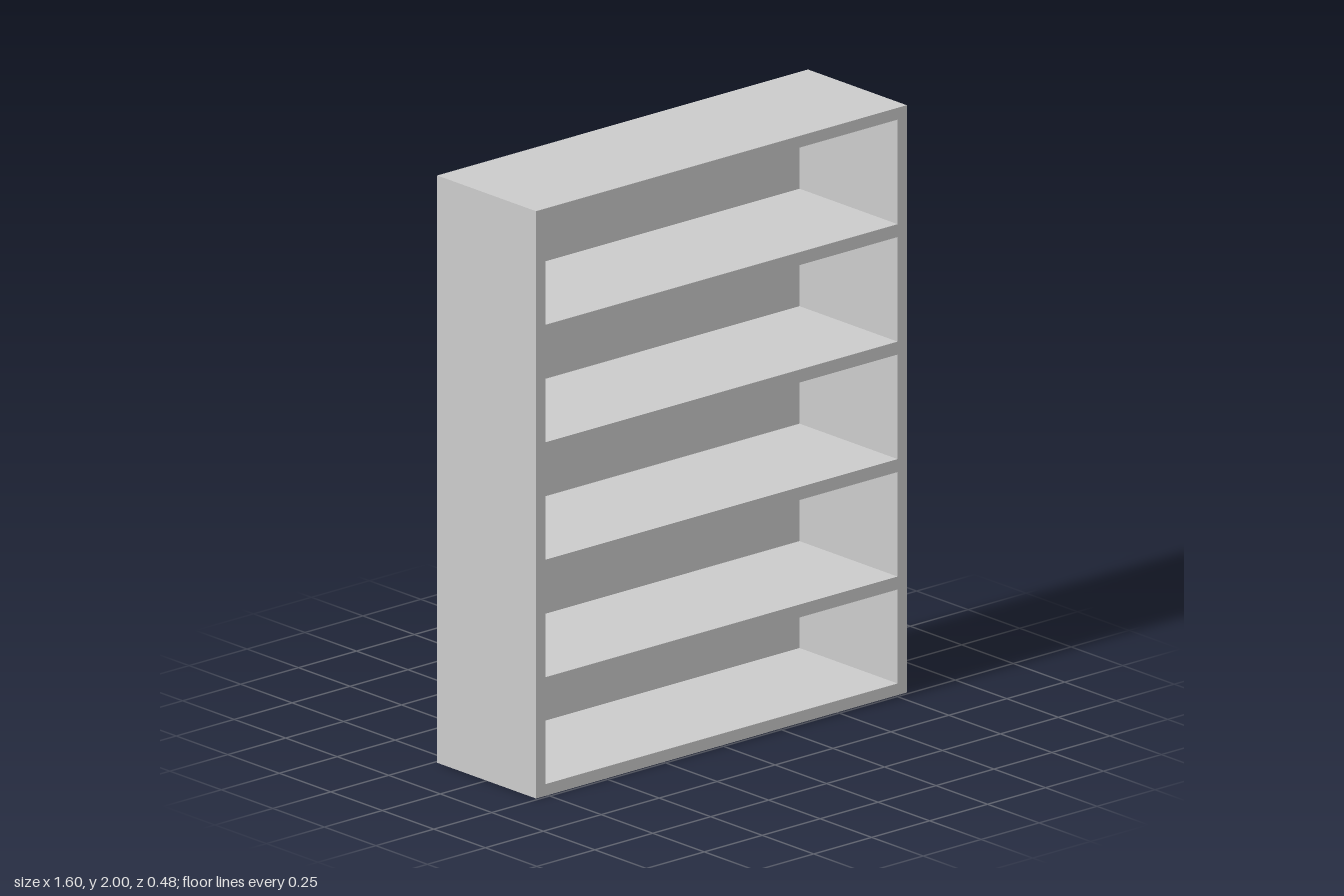
import * as THREE from 'three';

const W = 1.6, H = 2, D = 0.48; // overall size
const T = 0.04;                 // board thickness
const BACK = 0.004;             // back panel thickness
const BAYS = 5;

// Adds a rectangle to a shape or path
function rect(path, x0, y0, x1, y1) {
  path.moveTo(x0, y0);
  path.lineTo(x1, y0);
  path.lineTo(x1, y1);
  path.lineTo(x0, y1);
  path.closePath();
  return path;
}

export function createModel() {
  const group = new THREE.Group();
  group.name = 'bookcase';
  const material = new THREE.MeshStandardMaterial({ color: 0xcccccc });

  // Frame and shelves: one outline with an opening for each bay
  const outline = rect(new THREE.Shape(), -W / 2, 0, W / 2, H);
  const pitch = H / BAYS;
  for (let i = 0; i < BAYS; i++) {
    const bottom = i === 0 ? T : i * pitch + 0.004;
    const top = (i + 1) * pitch - T;
    outline.holes.push(rect(new THREE.Path(), -W / 2 + T, bottom, W / 2 - T, top));
  }
  const frame = new THREE.Mesh(
    new THREE.ExtrudeGeometry(outline, { depth: D - BACK, bevelEnabled: false }),
    material
  );
  frame.position.z = -D / 2 + BACK;
  frame.name = 'frameAndShelves';
  group.add(frame);

  // Thin back panel
  const back = new THREE.Mesh(new THREE.BoxGeometry(W, H, BACK), material);
  back.position.set(0, H / 2, -D / 2 + BACK / 2);
  back.name = 'backPanel';
  group.add(back);

  return group;
}
